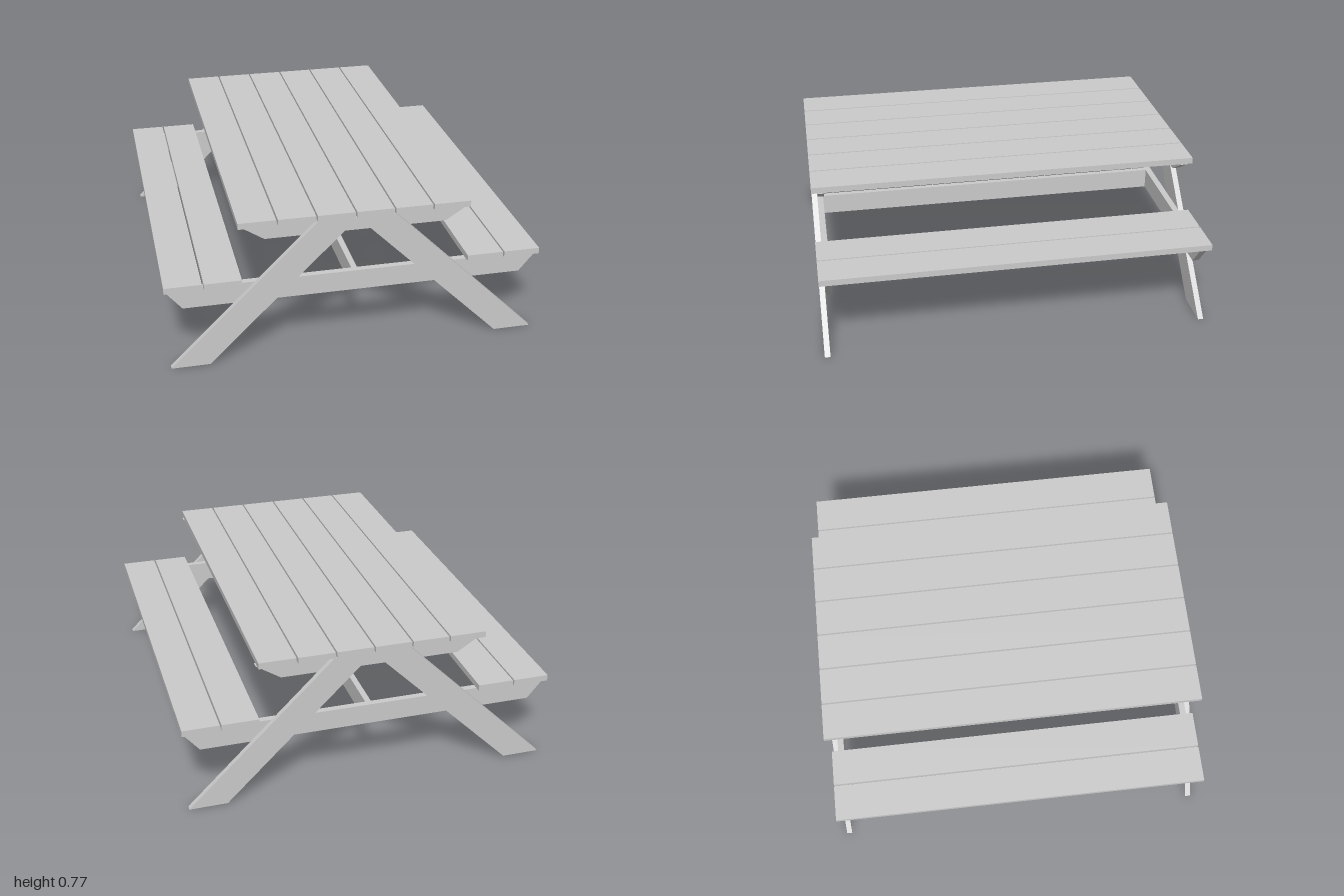
import * as THREE from 'three';

export function createModel() {
  const group = new THREE.Group();
  const material = new THREE.MeshStandardMaterial({ color: 0xcccccc, flatShading: true });

  const add = (name, geometry) => {
    const mesh = new THREE.Mesh(geometry, material);
    mesh.name = name;
    group.add(mesh);
    return mesh;
  };

  // Box given by its limits on each axis
  const board = (name, [x0, x1], [y0, y1], [z0, z1]) =>
    add(name, new THREE.BoxGeometry(x1 - x0, y1 - y0, z1 - z0))
      .position.set((x0 + x1) / 2, (y0 + y1) / 2, (z0 + z1) / 2);

  // Front outline cut from a board, from z0 to z1
  const cutBoard = (name, outline, z0, z1) => {
    const shape = new THREE.Shape(outline.map(([x, y]) => new THREE.Vector2(x, y)));
    const geometry = new THREE.ExtrudeGeometry(shape, { depth: z1 - z0, bevelEnabled: false });
    add(name, geometry.translate(0, 0, z0));
  };

  // Planks of the table top
  const pitch = 0.195, width = 0.187;
  for (let i = 0; i < 6; i++) {
    const x = -0.589 + i * pitch;
    board('tablePlank', [x, x + width], [0.741, 0.773], [-1, 1]);
  }

  // Two planks for each bench
  for (const x of [-0.957, -0.762, 0.575, 0.77]) {
    board('benchPlank', [x, x + width], [0.431, 0.463], [-1, 1]);
  }

  // Matching frame at each end: crossbars inside, slanted legs outside
  for (const end of [-1, 1]) {
    const span = (inner, outer) => (end > 0 ? [inner, outer] : [-outer, -inner]);
    const bar = span(0.936, 0.969), leg = span(0.969, 0.998);
    cutBoard('tableCrossbar',
      [[-0.456, 0.661], [0.456, 0.661], [0.58, 0.741], [-0.58, 0.741]], ...bar);
    cutBoard('benchCrossbar',
      [[-0.867, 0.323], [0.867, 0.323], [0.956, 0.431], [-0.956, 0.431]], ...bar);
    for (const side of [-1, 1]) {
      const outline = [[0.747, 0], [0.942, 0], [0.195, 0.741], [0, 0.741]];
      cutBoard(side > 0 ? 'leftLeg' : 'rightLeg', outline.map(([x, y]) => [x * side, y]), ...leg);
    }
  }

  // Lengthwise stretcher joining the two bench crossbars
  board('stretcher', [-0.015, 0.015], [0.323, 0.431], [-0.936, 0.936]);

  return group;
}
